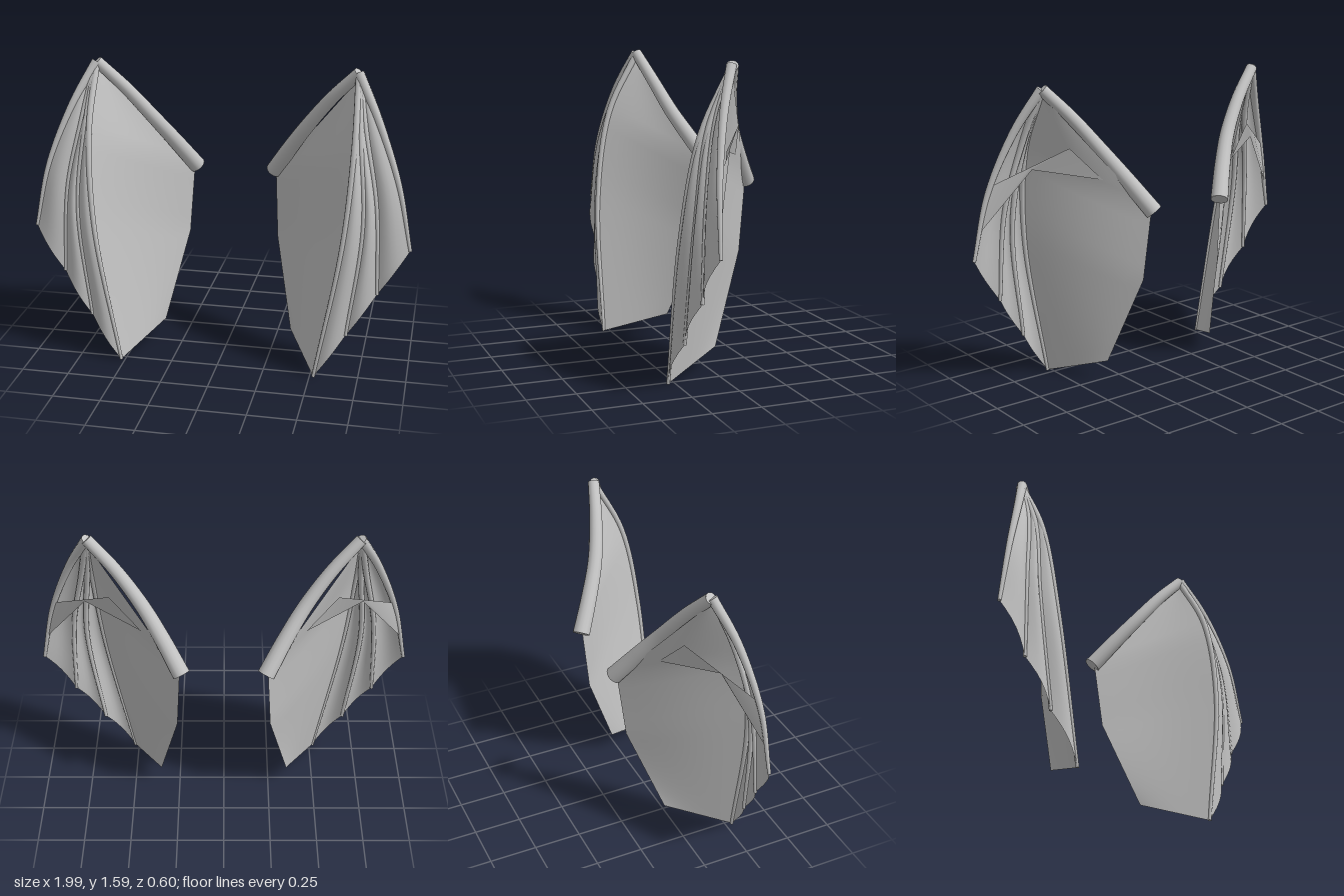
import * as THREE from 'three';

const V = (x, y, z) => new THREE.Vector3(x, y, z);

export function createModel() {
  const grey = new THREE.MeshStandardMaterial({ color: 0xc2c2c2, side: THREE.DoubleSide });
  grey.name = 'wing grey';

  const add = (parent, geometry, name) => {
    const mesh = new THREE.Mesh(geometry, grey);
    mesh.name = name;
    parent.add(mesh);
    return mesh;
  };

  // Tapered round bone along a curve, closed at both ends
  const addBone = (parent, curve, r0, r1, name, sides = 10) => {
    const n = 28;
    const geo = new THREE.TubeGeometry(curve, n, 1, sides);
    const pos = geo.attributes.position, p = V(0, 0, 0);
    for (let i = 0; i < pos.count; i++) {
      const u = Math.floor(i / (sides + 1)) / n;
      const c = curve.getPointAt(u);
      p.fromBufferAttribute(pos, i).sub(c).multiplyScalar(r0 + (r1 - r0) * u).add(c);
      pos.setXYZ(i, p.x, p.y, p.z);
    }
    const g = new THREE.Group();
    g.name = name;
    add(g, geo, name + 'Shaft');
    [[0, r0, -1], [1, r1, 1]].forEach(([u, r, dir]) => {
      const cap = add(g, new THREE.CircleGeometry(r, sides), name + 'End');
      const at = curve.getPointAt(u);
      cap.position.copy(at);
      cap.lookAt(at.clone().addScaledVector(curve.getTangentAt(u), dir));
    });
    parent.add(g);
  };

  // Skin sheet from a rule point(s, t), s across and t down
  const sheet = (point, cols, rows) => {
    const pos = [], index = [];
    for (let j = 0; j <= rows; j++)
      for (let i = 0; i <= cols; i++) pos.push(...point(i / cols, j / rows).toArray());
    for (let j = 0; j < rows; j++)
      for (let i = 0; i < cols; i++) {
        const a = j * (cols + 1) + i, b = a + cols + 1;
        index.push(a, b, a + 1, a + 1, b, b + 1);
      }
    const geo = new THREE.BufferGeometry();
    geo.setAttribute('position', new THREE.Float32BufferAttribute(pos, 3));
    geo.setIndex(index);
    geo.computeVertexNormals();
    return geo;
  };

  const createWing = (side, name) => {
    const wing = new THREE.Group();
    wing.name = name;
    const P = ([x, y, z]) => V(x * side, y, z);
    const curve = pts => new THREE.CatmullRomCurve3(pts.map(P));

    // Arm from the shoulder to the wrist
    const arm = curve([[0.215, 0.955, -0.265], [0.31, 1.11, -0.175], [0.41, 1.26, -0.095],
      [0.54, 1.43, -0.03], [0.68, 1.58, 0.02]]);
    addBone(wing, arm, 0.046, 0.03, 'armBone', 14);

    // Four fingers fanning from the wrist, outermost first
    const fingers = [
      [[0.68, 1.58, 0.025], [0.79, 1.37, 0.11], [0.91, 1.06, 0.18], [0.985, 0.72, 0.205]],
      [[0.685, 1.57, 0.03], [0.735, 1.3, 0.13], [0.805, 0.95, 0.2], [0.83, 0.48, 0.23]],
      [[0.685, 1.56, 0.03], [0.71, 1.28, 0.155], [0.745, 0.85, 0.23], [0.68, 0.25, 0.26]],
      [[0.68, 1.56, 0.03], [0.685, 1.25, 0.185], [0.65, 0.76, 0.27], [0.52, 0.01, 0.285]],
    ].map(curve);
    fingers.forEach((f, i) => addBone(wing, f, i ? 0.018 : 0.026, 0.009, 'finger' + (i + 1)));

    // Bulging skin between neighbouring fingers
    for (let i = 0; i < 3; i++) {
      const a = fingers[i], b = fingers[i + 1];
      add(wing, sheet((s, t) => {
        const p = a.getPoint(t).lerp(b.getPoint(t), s);
        p.z += 0.024 * Math.sin(Math.PI * s) * Math.sin(Math.PI * Math.min(t, 0.75) / 1.5);
        return p;
      }, 6, 24), 'fingerSkin' + (i + 1));
    }

    // Broad inner skin between the last finger and the body edge
    const edge = [[0.68, 1.55, 0.02], [0.225, 0.95, -0.255], [0.245, 0.59, -0.215], [0.35, 0.12, -0.04]].map(P);
    const knots = [0, 0.35, 0.6, 1];
    const edgeAt = t => {
      const k = t < knots[1] ? 0 : t < knots[2] ? 1 : 2;
      return edge[k].clone().lerp(edge[k + 1], (t - knots[k]) / (knots[k + 1] - knots[k]));
    };
    add(wing, sheet((s, t) => {
      const p = fingers[3].getPoint(t).lerp(edgeAt(t), s);
      const sag = 0.025 * Math.sin(Math.PI * s) * Math.sin(Math.PI * t);
      return p.add(V(0.87 * sag * side, 0, -0.48 * sag));
    }, 8, 20), 'innerSkin');

    // Loose fold of skin behind the fingers
    const upper = [[0.9, 1.1, 0.17], [0.58, 1.29, -0.06]].map(P);
    const lower = [[0.96, 0.86, 0.195], [0.72, 1.18, 0.065], [0.42, 1.12, -0.115]].map(P);
    add(wing, sheet((s, t) => {
      const low = s < 0.5 ? lower[0].clone().lerp(lower[1], s * 2) : lower[1].clone().lerp(lower[2], s * 2 - 1);
      return upper[0].clone().lerp(upper[1], s).lerp(low, t);
    }, 2, 1), 'skinFold');
    return wing;
  };

  const model = new THREE.Group();
  model.name = 'wingPair';
  model.add(createWing(1, 'leftWing'), createWing(-1, 'rightWing'));
  return model;
}
